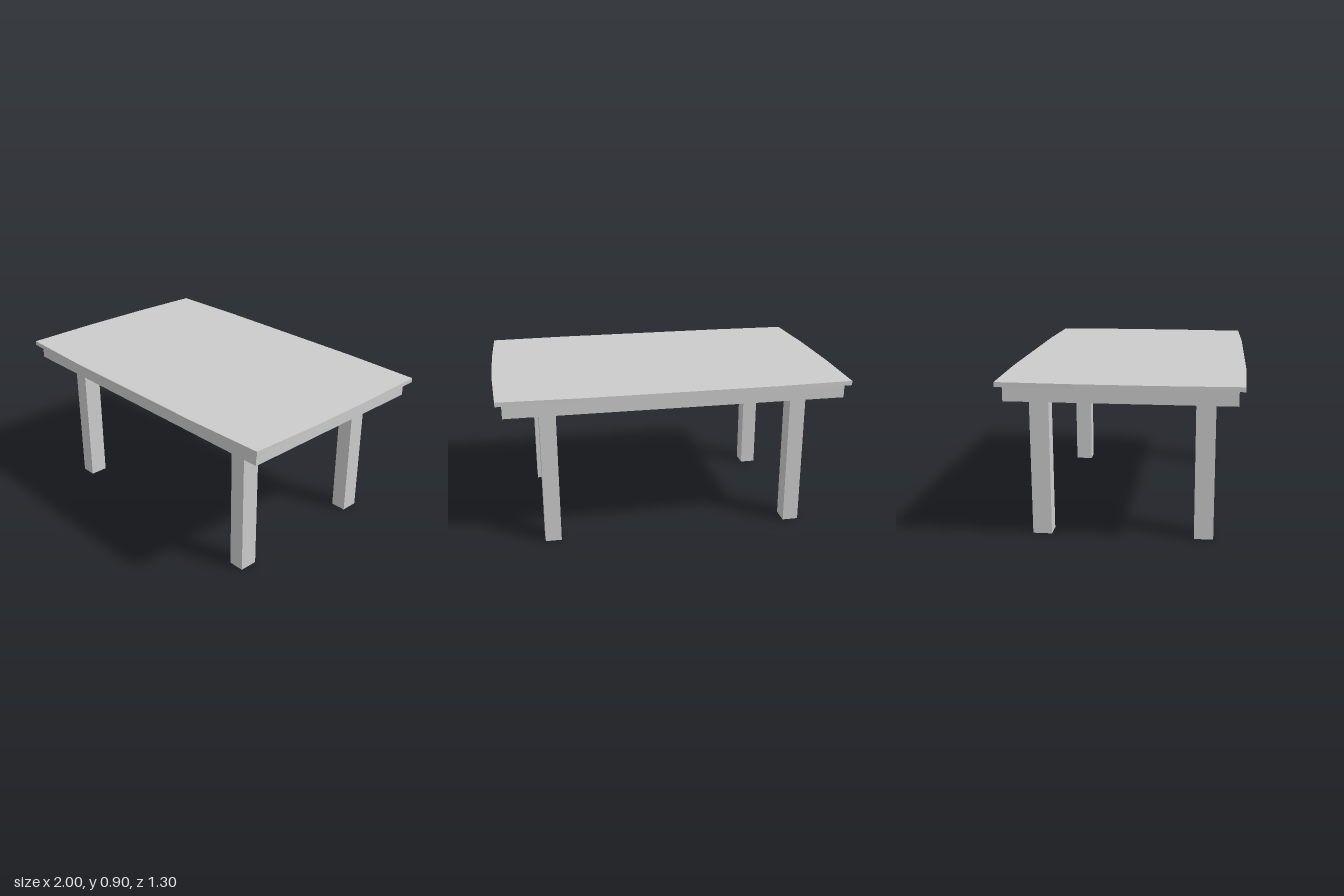
import * as THREE from 'three';

export function createModel() {
  const table = new THREE.Group();
  table.name = 'table';
  const material = new THREE.MeshStandardMaterial({ color: 0xcccccc, flatShading: true });

  const add = (name, geometry, x, y, z) => {
    const mesh = new THREE.Mesh(geometry, material);
    mesh.name = name;
    mesh.position.set(x, y, z);
    table.add(mesh);
  };

  // Thin top with slightly bowed edges
  const quarter = [[1, 0.22], [0.986, 0.636], [0.52, 0.65]];
  const flipped = [...quarter].reverse();
  const outline = [
    ...quarter,
    ...flipped.map(([x, z]) => [-x, z]),
    ...quarter.map(([x, z]) => [-x, -z]),
    ...flipped.map(([x, z]) => [x, -z]),
  ].map(([x, z]) => new THREE.Vector2(x, z));
  const topGeometry = new THREE.ExtrudeGeometry(new THREE.Shape(outline), { depth: 0.025, bevelEnabled: false });
  topGeometry.rotateX(-Math.PI / 2);
  add('tableTop', topGeometry, 0, 0.879, 0);

  // Solid apron under the top
  add('apron', new THREE.BoxGeometry(1.909, 0.081, 1.207), -0.002, 0.8385, 0.001);

  // Four square-cut legs, set in from the apron
  const legGeometry = new THREE.BoxGeometry(0.092, 0.798, 0.106);
  for (const [side, x] of [['Left', 0.712], ['Right', -0.719]]) {
    for (const [end, z] of [['front', 0.439], ['back', -0.458]]) {
      add(`${end}${side}Leg`, legGeometry, x, 0.399, z);
    }
  }
  return table;
}
